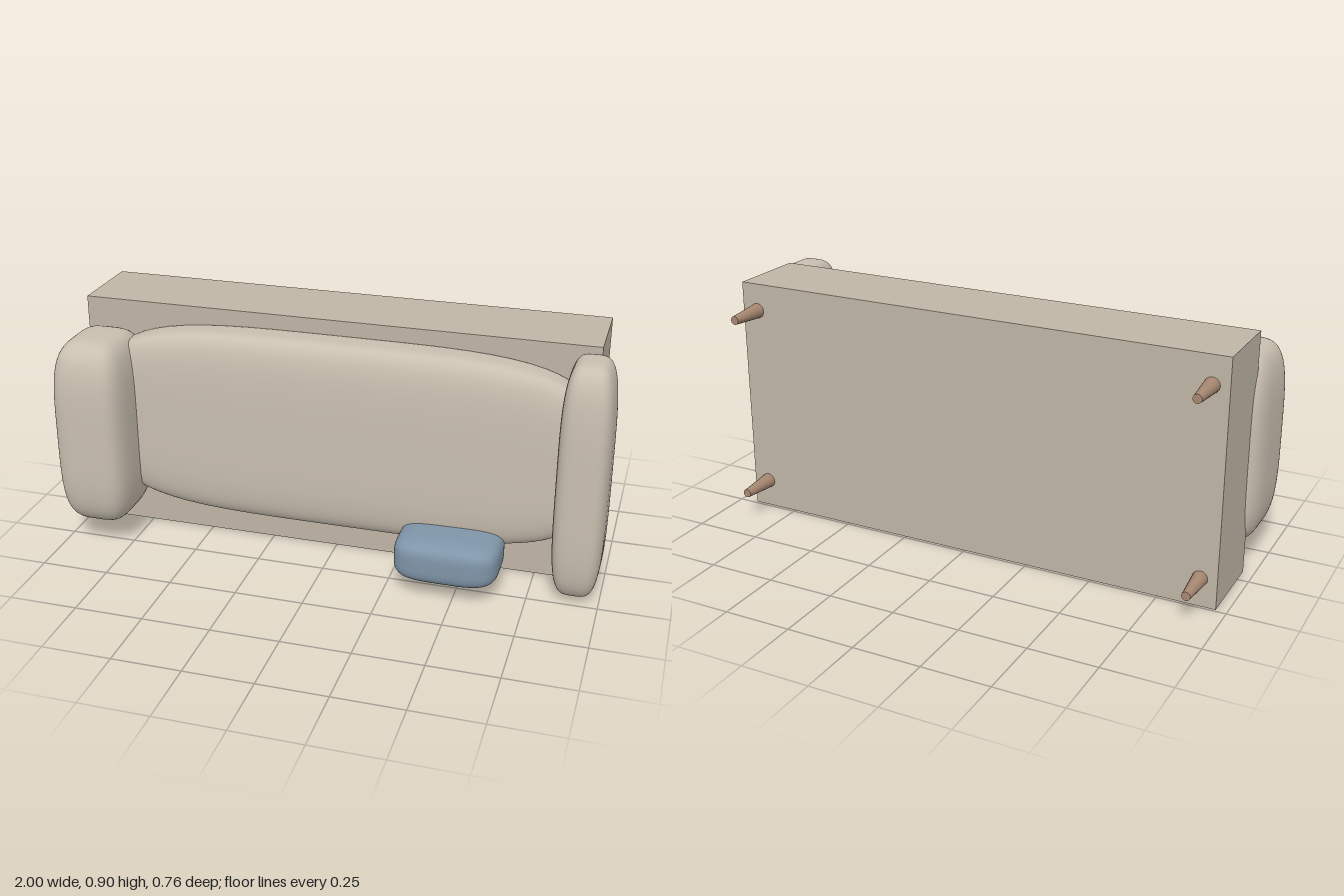
import * as THREE from 'three';
import { mergeVertices } from 'three/addons/utils/BufferGeometryUtils.js';

const paint = (color) => new THREE.MeshStandardMaterial({ color });

// Puffy cushion filling the box min..max: a cube pulled onto a fourth-power superellipsoid
function cushion(name, min, max, material) {
  let geo = new THREE.BoxGeometry(2, 2, 2, 20, 20, 20);
  geo.deleteAttribute('normal');
  geo.deleteAttribute('uv');
  geo = mergeVertices(geo);
  const pos = geo.attributes.position;
  const v = new THREE.Vector3();
  for (let i = 0; i < pos.count; i++) {
    v.fromBufferAttribute(pos, i);
    v.divideScalar((v.x ** 4 + v.y ** 4 + v.z ** 4) ** 0.25);
    pos.setXYZ(i, v.x, v.y, v.z);
  }
  const box = new THREE.Box3(new THREE.Vector3(...min), new THREE.Vector3(...max));
  const size = box.getSize(new THREE.Vector3());
  const centre = box.getCenter(new THREE.Vector3());
  geo.scale(size.x / 2, size.y / 2, size.z / 2);
  geo.translate(centre.x, centre.y, centre.z);
  geo.computeVertexNormals();
  const mesh = new THREE.Mesh(geo, material);
  mesh.name = name;
  return mesh;
}

export function createModel() {
  const model = new THREE.Group();
  model.name = 'daybed';
  const fabric = paint(0xc9bfb0);
  const baseFabric = paint(0xbfb5a5);
  const wood = paint(0xa68771);
  const blue = paint(0x7f95a8);

  // Box base, standing on its long edge
  const base = new THREE.Mesh(new THREE.BoxGeometry(1.89, 0.9, 0.305), baseFabric);
  base.name = 'base';
  base.position.set(-0.015, 0.45, -0.0875);
  model.add(base);

  // Mattress, the two end bolsters and a loose pillow
  model.add(
    cushion('mattress', [-0.88, 0.134, 0.01], [0.94, 0.849, 0.22], fabric),
    cushion('rightBolster', [-1, 0.094, 0.015], [-0.727, 0.81, 0.38], fabric),
    cushion('leftBolster', [0.82, 0.015, 0.015], [1, 0.888, 0.29], fabric),
    cushion('pillow', [0.28, 0.06, 0.1], [0.655, 0.222, 0.38], blue),
  );

  // Tapered legs pointing backwards
  const legGeo = new THREE.CylinderGeometry(0.028, 0.016, 0.14, 16);
  legGeo.rotateX(Math.PI / 2);
  for (const x of [-0.898, 0.868]) {
    for (const y of [0.105, 0.797]) {
      const leg = new THREE.Mesh(legGeo, wood);
      leg.name = 'leg';
      leg.position.set(x, y, -0.31);
      model.add(leg);
    }
  }
  return model;
}
